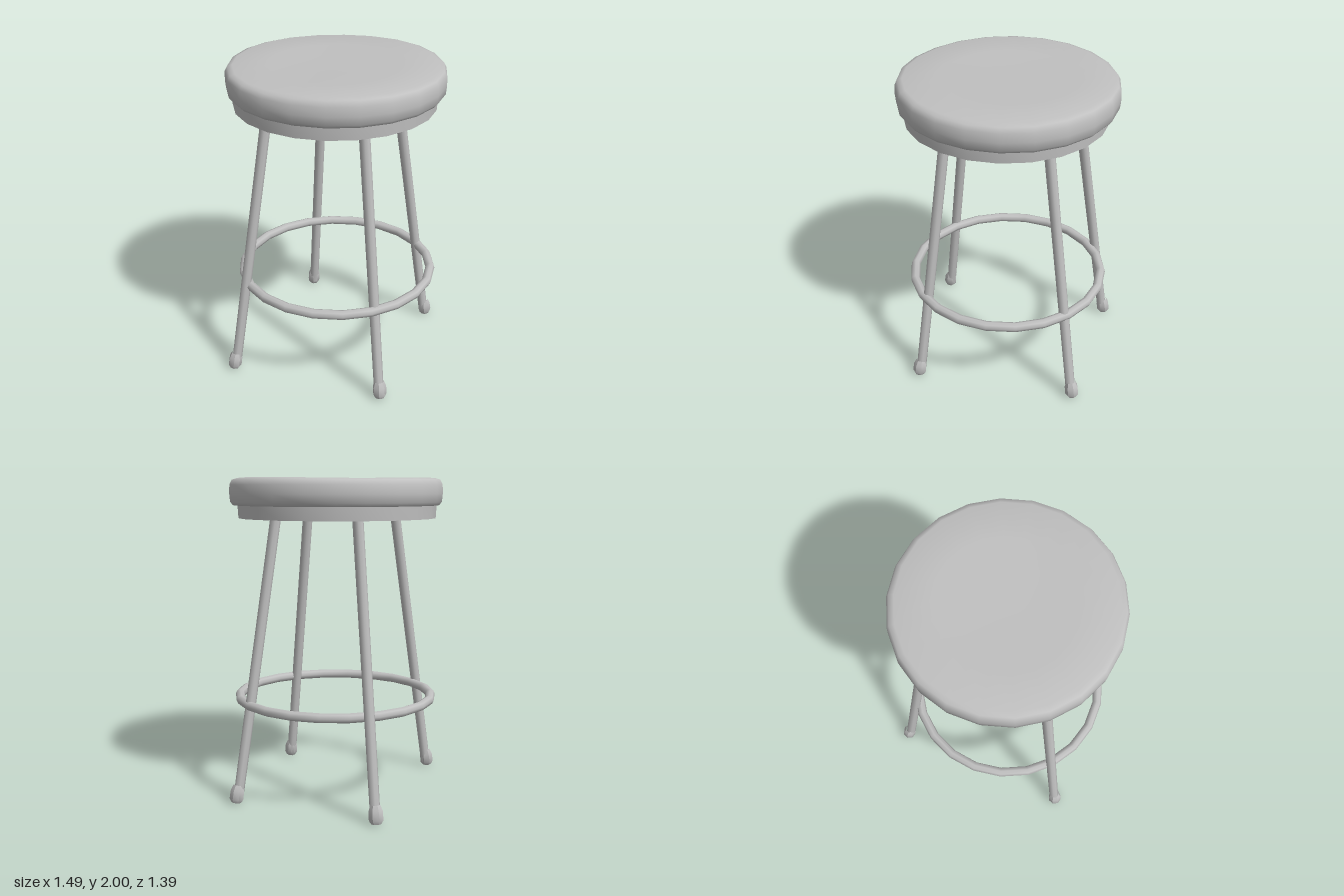
import * as THREE from 'three';
import { toCreasedNormals } from 'three/addons/utils/BufferGeometryUtils.js';

const grey = new THREE.MeshStandardMaterial({ color: 0xc0c0c0 });
grey.name = 'grey';

function part(name, geometry, parent, crease = 0.9) {
  const mesh = new THREE.Mesh(toCreasedNormals(geometry, crease), grey);
  mesh.name = name;
  parent.add(mesh);
  return mesh;
}

function lathe(points, sides) {
  return new THREE.LatheGeometry(points.map(([r, y]) => new THREE.Vector2(r, y)), sides);
}

// Tapered bar between two points, with its foot end at the first one
function bar(name, from, to, r0, r1, parent) {
  const axis = new THREE.Vector3().subVectors(to, from);
  const mesh = part(name, new THREE.CylinderGeometry(r1, r0, axis.length(), 8), parent, 1.1);
  mesh.position.addVectors(from, to).multiplyScalar(0.5);
  mesh.quaternion.setFromUnitVectors(new THREE.Vector3(0, 1, 0), axis.normalize());
  return mesh;
}

export function createModel() {
  const stool = new THREE.Group();
  stool.name = 'stool';

  // Padded seat with softly rounded rims and a slightly uneven top
  const cushionShape = lathe([
    [0, 1.83], [0.645, 1.83], [0.662, 1.85], [0.667, 1.9], [0.665, 1.955],
    [0.65, 1.985], [0.62, 1.995], [0.4, 1.994], [0.2, 1.99], [0, 1.99],
  ], 22);
  const p = cushionShape.attributes.position;
  for (let i = 0; i < p.count; i++) {
    const x = p.getX(i), z = p.getZ(i);
    if (p.getY(i) > 1.97) p.setY(i, p.getY(i) + 0.004 * Math.sin(5 * z + 2 * x));
  }
  const cushion = part('seatCushion', cushionShape, stool);
  cushion.position.x = 0.01;

  // Recessed band under the cushion, closed below
  part('seatBase', lathe([[0, 1.75], [0.62, 1.75], [0.625, 1.835]], 22), stool);

  // Splayed legs: foot x, z then top x, z
  const legs = [
    [-0.695, -0.225, -0.42, -0.14],
    [-0.235, 0.645, -0.15, 0.39],
    [0.395, -0.64, 0.26, -0.385],
    [0.685, 0.22, 0.4, 0.145],
  ];
  legs.forEach(([fx, fz, tx, tz], i) => {
    const leg = new THREE.Group();
    leg.name = 'leg' + (i + 1);
    stool.add(leg);
    const foot = new THREE.Vector3(fx, 0.03, fz);
    const top = new THREE.Vector3(tx, 1.77, tz);
    bar('legTube', foot, top, 0.031, 0.033, leg);

    // Flared tip at the floor, pushed slightly outwards
    const tip = part('footTip', lathe([
      [0, -0.045], [0.03, -0.042], [0.044, -0.02], [0.043, 0.035], [0.03, 0.07],
    ], 7), leg, 0.7);
    tip.position.set(fx * 1.012, 0.047, fz * 1.012);
    tip.quaternion.setFromUnitVectors(new THREE.Vector3(0, 1, 0), top.clone().sub(foot).normalize());
  });

  // Foot ring joining the legs
  const ring = part('footRing', new THREE.TorusGeometry(0.62, 0.03, 8, 22), stool, 1.1);
  ring.rotation.x = Math.PI / 2;
  ring.position.set(0.012, 0.61, 0.005);

  return stool;
}
